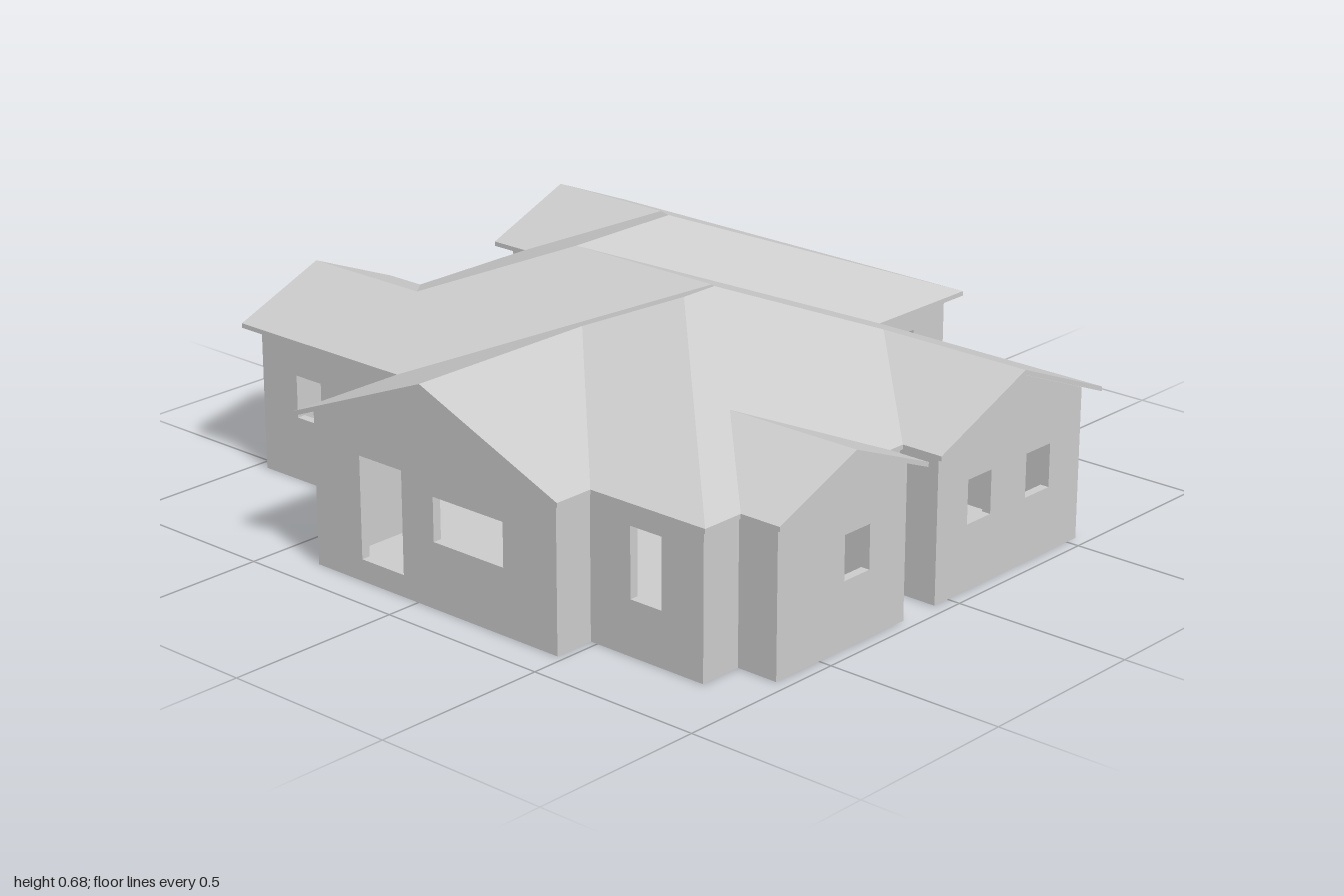
import * as THREE from 'three';

const SLOPE = 0.404, EAVE = 0.418, ROOF_T = 0.013, WALL_TOP = 0.417, WALL_T = 0.025;
const mat = new THREE.MeshStandardMaterial({ color: 0xcccccc, flatShading: true });

// Roof corners: [x, z, distance from eave]; height follows from the pitch
const V = {
  // rear left wing
  a1: [-1, -0.94, 0], a2: [-1, -0.665, 0.275], a3: [-1, -0.39, 0], a4: [-0.88, -0.39, 0], a5: [-0.605, -0.665, 0.275],
  // front left wing
  b1: [-1, 0.025, 0], b2: [-1, 0.3, 0.275], b3: [-1, 0.575, 0], b4: [-0.88, 0.025, 0], b5: [-0.605, 0.3, 0.275],
  // left block ridge and rear corner
  c1: [-0.305, -0.365, 0.575], c2: [-0.305, 0, 0.575], c3: [0.27, -0.94, 0], c4: [0.27, -0.575, 0], c5: [0.175, 0, 0.575],
  // main ridge and hip corner
  p1: [0.24, 0.065, 0.64], p2: [0.24, 0.18, 0.64], p3: [0.88, 0.82, 0],
  // rear right wing
  d1: [1, -0.575, 0], d2: [1, -0.2425, 0.3325], d3: [1, 0.09, 0], d4: [0.88, 0.09, 0], d5: [0.5475, -0.2425, 0.3325],
  // front right wing
  e1: [1, 0.14, 0], e2: [1, 0.4175, 0.2775], e3: [1, 0.695, 0], e4: [0.88, 0.14, 0], e5: [0.6025, 0.4175, 0.2775], e6: [0.88, 0.695, 0],
  // front gable
  f1: [-0.4, 0.575, 0], f2: [-0.4, 0.935, 0], f3: [0.058, 0.935, 0.458], f4: [0.516, 0.935, 0], f5: [0.516, 0.82, 0], f6: [0.058, 0.362, 0.458],
};

const ROOF_FACES = [
  'a1 c3 c1 a5 a2', 'a3 a4 a5 a2', 'a4 a5 c1 c2 b5 b4', 'b1 b2 b5 b4', 'b3 f1 c5 c2 b5 b2',
  'c3 c4 c2 c1', 'c4 d1 d2 d5 p1 c5 c2', 'd3 d4 d5 d2', 'e1 e2 e5 e4', 'e3 e6 e5 e2',
  'p3 e6 e5 e4 d4 d5 p1 p2', 'f5 p3 p2 f6', 'f4 f5 f6 f3', 'f2 f3 f6 p2 p1 c5 f1',
];
const ROOF_EDGE = 'f1 f2 f3 f4 f5 p3 e6 e3 e2 e1 e4 d4 d3 d2 d1 c4 c3 a1 a2 a3 a4 b4 b1 b2 b3';

function makeRoof() {
  const pos = [];
  const pt = (k, drop) => [V[k][0], EAVE + V[k][2] * SLOPE - drop, V[k][1]];
  const tri = (a, b, c) => pos.push(...a, ...b, ...c);
  for (const face of ROOF_FACES) {
    const keys = face.split(' ');
    const flat = keys.map(k => new THREE.Vector2(V[k][0], V[k][1]));
    if (THREE.ShapeUtils.isClockWise(flat)) { keys.reverse(); flat.reverse(); }
    for (const [i, j, k] of THREE.ShapeUtils.triangulateShape(flat, [])) {
      tri(pt(keys[i], 0), pt(keys[k], 0), pt(keys[j], 0));                // tiles
      tri(pt(keys[i], ROOF_T), pt(keys[j], ROOF_T), pt(keys[k], ROOF_T)); // soffit
    }
  }
  // fascia around the outline
  const edge = ROOF_EDGE.split(' ');
  edge.forEach((a, i) => {
    const b = edge[(i + 1) % edge.length];
    tri(pt(a, ROOF_T), pt(b, ROOF_T), pt(b, 0));
    tri(pt(a, ROOF_T), pt(b, 0), pt(a, 0));
  });
  const g = new THREE.BufferGeometry();
  g.setAttribute('position', new THREE.Float32BufferAttribute(pos, 3));
  g.computeVertexNormals();
  return g;
}

// Walls in order around the plan: start corner, gable flag,
// openings [from, to, bottom, top] measured along the wall's axis
const LOW = [0.18, 0.3], MID = [0.15, 0.34], TALL = [0.13, 0.355], DOOR = [0.06, 0.34];
const WALLS = [
  { at: [-0.363, 0.9], gable: true, holes: [[-0.2, -0.05, ...DOOR], [0.06, 0.3, ...LOW]] },
  { at: [0.479, 0.9] },
  { at: [0.479, 0.783], holes: [[0.61, 0.71, ...MID]] },
  { at: [0.843, 0.783] },
  { at: [0.843, 0.658] },
  { at: [0.963, 0.658], gable: true, holes: [[0.315, 0.41, ...LOW]] },
  { at: [0.963, 0.177] },
  { at: [0.843, 0.177] },
  { at: [0.843, 0.053] },
  { at: [0.963, 0.053], gable: true, holes: [[-0.165, -0.07, ...LOW], [-0.41, -0.31, ...LOW]] },
  { at: [0.963, -0.538], holes: [[0.61, 0.705, ...LOW], [0.41, 0.55, ...DOOR]] },
  { at: [0.233, -0.538], holes: [[-0.77, -0.67, ...MID]] },
  { at: [0.233, -0.903], holes: [[-0.11, -0.01, ...TALL], [-0.355, -0.255, ...TALL], [-0.595, -0.495, ...TALL]] },
  { at: [-0.963, -0.903], gable: true, holes: [[-0.66, -0.565, ...LOW]] },
  { at: [-0.963, -0.427] },
  { at: [-0.843, -0.427], holes: [[-0.27, -0.13, ...DOOR]] },
  { at: [-0.843, 0.062] },
  { at: [-0.963, 0.062], gable: true, holes: [[0.175, 0.275, ...LOW]] },
  { at: [-0.963, 0.538], holes: [[-0.83, -0.735, ...LOW], [-0.595, -0.495, ...LOW]] },
  { at: [-0.363, 0.538] },
];

function makeWall({ at: [ax, az], gable, holes = [] }, [bx, bz]) {
  const dx = bx - ax, dz = bz - az, len = Math.hypot(dx, dz);
  const pts = [[0, 0], [len, 0], [len, WALL_TOP]];
  if (gable) pts.push([len / 2, WALL_TOP + len / 2 * SLOPE]);
  pts.push([0, WALL_TOP]);
  const shape = new THREE.Shape(pts.map(p => new THREE.Vector2(...p)));
  const start = Math.abs(dx) > Math.abs(dz) ? ax : az;
  for (const [c0, c1, y0, y1] of holes) {
    const u0 = Math.min(Math.abs(c0 - start), Math.abs(c1 - start));
    const u1 = u0 + c1 - c0;
    shape.holes.push(new THREE.Path([[u0, y0], [u0, y1], [u1, y1], [u1, y0]].map(p => new THREE.Vector2(...p))));
  }
  const g = new THREE.ExtrudeGeometry(shape, { depth: WALL_T, bevelEnabled: false });
  g.translate(0, 0, -WALL_T);
  g.rotateY(Math.atan2(-dz, dx));
  g.translate(ax, 0, az);
  return g;
}

export function createModel() {
  const house = new THREE.Group();
  house.name = 'house';
  const add = (name, geometry, parent = house) => {
    const m = new THREE.Mesh(geometry, mat);
    m.name = name;
    parent.add(m);
    return m;
  };

  add('roof', makeRoof());

  // outer walls
  const walls = new THREE.Group();
  walls.name = 'walls';
  house.add(walls);
  WALLS.forEach((w, i) => add(w.gable ? 'gableWall' : 'wall', makeWall(w, WALLS[(i + 1) % WALLS.length].at), walls));

  // floor slab
  const plan = new THREE.Shape(WALLS.map(w => new THREE.Vector2(w.at[0], -w.at[1])));
  const slab = new THREE.ExtrudeGeometry(plan, { depth: 0.01, bevelEnabled: false });
  slab.rotateX(-Math.PI / 2);
  add('floor', slab);

  // inner partitions
  add('partition', new THREE.BoxGeometry(0.04, 0.4, 1.42)).position.set(-0.51, 0.205, -0.18);
  add('partition', new THREE.BoxGeometry(1.32, 0.4, 0.03)).position.set(0.17, 0.205, 0.1);

  return house;
}
